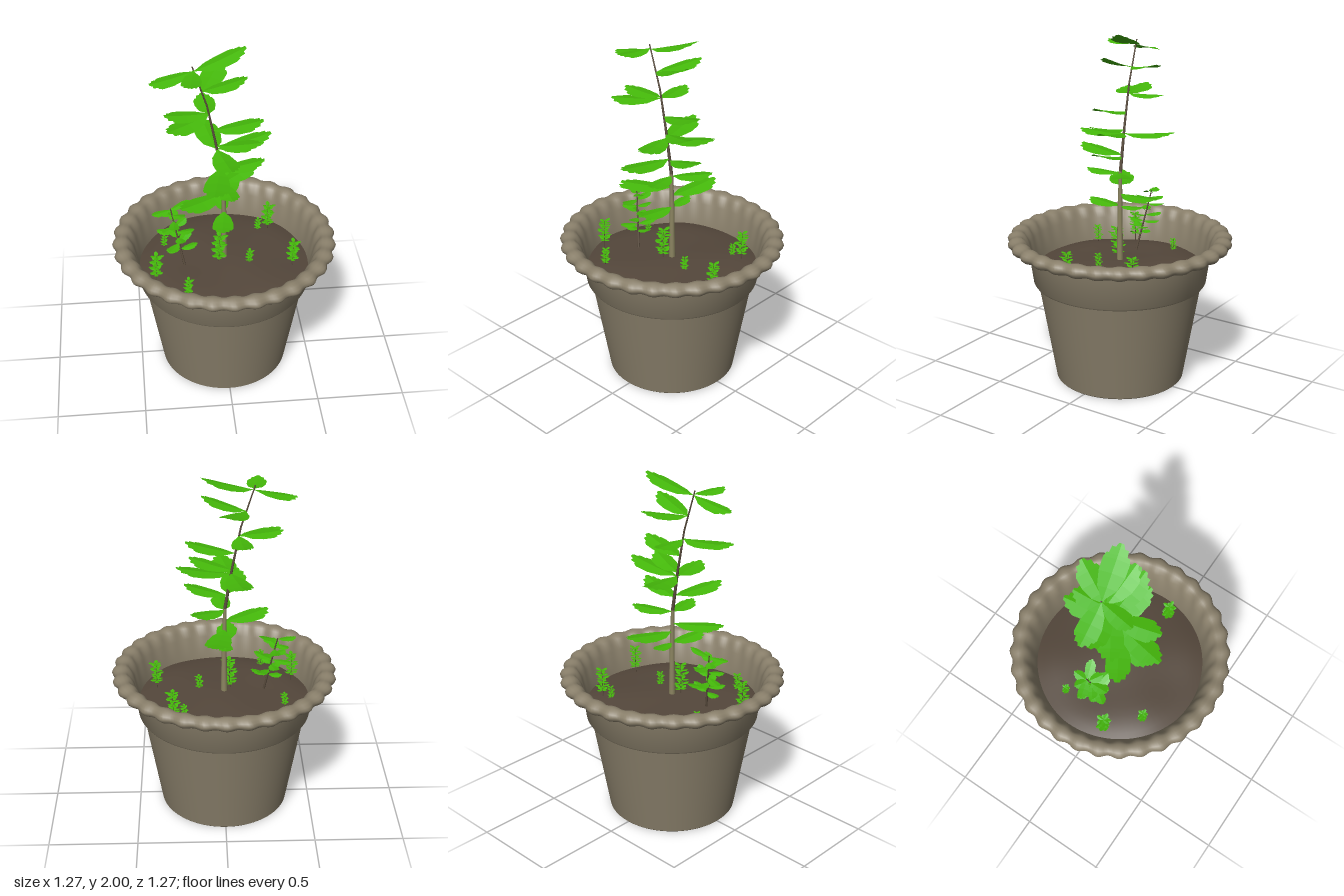
import * as THREE from 'three';
import { mergeGeometries, toCreasedNormals } from 'three/addons/utils/BufferGeometryUtils.js';

const mat = (name, color, side = THREE.FrontSide) => {
  const m = new THREE.MeshStandardMaterial({ color, side });
  m.name = name;
  return m;
};
const V = (x, y, z) => new THREE.Vector3(x, y, z);

function mesh(name, geometry, material, parent) {
  const m = new THREE.Mesh(geometry, material);
  m.name = name;
  parent.add(m);
  return m;
}

const lathe = (points, segments) =>
  new THREE.LatheGeometry(points.map(([r, y]) => new THREE.Vector2(r, y)), segments);

// Leaf outline: [position along the midrib, fraction of the half width]
const OUTLINE = [[0, 0.04], [0.08, 0.2], [0.25, 0.72], [0.5, 0.98], [0.74, 1],
  [0.82, 0.84], [0.8, 0.7], [0.93, 0.62], [0.91, 0.36], [1, 0.2]];

// Folded leaf with a toothed end, running from base to tip
function leaf(base, tip, halfWidth) {
  const dir = tip.clone().sub(base);
  const side = V(-dir.z, 0, dir.x).normalize();
  const length = dir.length();
  const at = (t, s) => {
    const p = base.clone().addScaledVector(dir, t).addScaledVector(side, s * halfWidth);
    p.y += -length * 0.09 * t * (1 - t) - Math.abs(s) * halfWidth * 0.16;
    return p;
  };
  const pos = [];
  const tri = (...ps) => ps.forEach((p) => pos.push(p.x, p.y, p.z));
  for (const s of [1, -1]) {
    for (let i = 0; i < OUTLINE.length - 1; i++) {
      const [t0, w0] = OUTLINE[i], [t1, w1] = OUTLINE[i + 1];
      const a = at(t0, 0), b = at(t1, 0), c = at(t1, w1 * s), d = at(t0, w0 * s);
      // Teeth step back along the midrib, so those quads turn the other way
      if ((s > 0) === (t1 > t0)) { tri(a, d, c); tri(a, c, b); } else { tri(a, c, d); tri(a, b, c); }
    }
  }
  const g = new THREE.BufferGeometry();
  g.setAttribute('position', new THREE.Float32BufferAttribute(pos, 3));
  // Keep the visible upper side facing up
  for (let i = 0; i < pos.length; i += 9) {
    const [a, b, c] = [0, 3, 6].map((k) => V(pos[i + k], pos[i + k + 1], pos[i + k + 2]));
    if (b.clone().sub(a).cross(c.clone().sub(a)).y < 0) {
      g.attributes.position.setXYZ(i / 3 + 1, c.x, c.y, c.z);
      g.attributes.position.setXYZ(i / 3 + 2, b.x, b.y, b.z);
    }
  }
  g.computeVertexNormals();
  return g;
}

// Tapered stem through a list of points
function stem(points, r0, r1, from = 0, to = points.length - 1) {
  const parts = [];
  const radius = (i) => r0 * (r1 / r0) ** (i / (points.length - 1));
  for (let i = from; i < to; i++) {
    const d = points[i + 1].clone().sub(points[i]);
    const g = new THREE.CylinderGeometry(radius(i + 1), radius(i), d.length(), 8);
    g.applyQuaternion(new THREE.Quaternion().setFromUnitVectors(V(0, 1, 0), d.clone().normalize()));
    const mid = points[i].clone().add(points[i + 1]).multiplyScalar(0.5);
    parts.push(g.translate(mid.x, mid.y, mid.z));
  }
  return mergeGeometries(parts);
}

// Point on a stem at a given height
function stemAt(points, y) {
  let i = 0;
  while (i < points.length - 2 && points[i + 1].y < y) i++;
  const a = points[i], b = points[i + 1];
  return a.clone().lerp(b, (y - a.y) / (b.y - a.y));
}

// Small plant: leaves spiral up the stem, square to its lean
function sprout(name, base, top, levels, perLevel, length, mats, parent) {
  const group = new THREE.Group();
  group.name = name;
  const pts = [base, base.clone().lerp(top, 0.5), top];
  const lean = (base.x - top.x) / (top.y - base.y);
  mesh('sproutStem', stem(pts, length * 0.06, length * 0.03), mats.stem, group);
  const leaves = [];
  for (let i = 0; i < levels; i++) {
    const p = base.clone().lerp(top, 0.3 + 0.68 * i / (levels - 1));
    for (let k = 0; k < perLevel; k++) {
      const a = i * 2.2 + k * Math.PI * 2 / perLevel;
      const l = length * (0.85 + 0.15 * Math.sin(i * 3 + k * 5));
      const rise = l * (0.15 + lean * Math.cos(a));
      leaves.push(leaf(p, p.clone().add(V(Math.cos(a) * l, rise, Math.sin(a) * l)), length * 0.25));
    }
  }
  mesh('sproutLeaves', mergeGeometries(leaves), mats.leaf, group);
  parent.add(group);
}

export function createModel() {
  const model = new THREE.Group();
  const clay = mat('clay', 0x8a806b, THREE.DoubleSide);
  const soilMat = mat('soil', 0x54473b);
  const leafMat = mat('leafGreen', 0x45b90a, THREE.DoubleSide);
  const barkLow = mat('greenBark', 0x8c8561);
  const barkHigh = mat('brownBark', 0x5b4d3e);

  // Pot: drain hole, floor, tapered wall and raised band
  const body = lathe([[0, 0.13], [0.065, 0.13], [0.065, 0], [0.362, 0], [0.368, 0.006], [0.465, 0.575],
    [0.485, 0.58], [0.492, 0.59], [0.52, 0.79]], 96);
  mesh('potBody', toCreasedNormals(body, 0.6), clay, model);

  // Scalloped rim: a rolled lip with soft lobes, running into the inner wall
  const lip = [[0.516, 0.785], [0.53, 0.79], [0.56, 0.788], [0.59, 0.788], [0.615, 0.797], [0.632, 0.812],
    [0.637, 0.828], [0.63, 0.845], [0.612, 0.859], [0.585, 0.866], [0.56, 0.862], [0.54, 0.848],
    [0.525, 0.825], [0.512, 0.79], [0.487, 0.66], [0.477, 0.6]];
  const rim = lathe(lip, 256);
  const pos = rim.attributes.position;
  for (let i = 0; i < pos.count; i++) {
    const x = pos.getX(i), y = pos.getY(i), z = pos.getZ(i);
    const r = Math.hypot(x, z);
    if (r < 0.52) continue;
    const pinch = 1 - 0.14 * (1 - Math.cos(32 * Math.atan2(x, z)));
    const nr = 0.575 + (r - 0.575) * pinch;
    pos.setXYZ(i, x * nr / r, 0.826 + (y - 0.826) * (0.4 + 0.6 * pinch), z * nr / r);
  }
  mesh('scallopedRim', toCreasedNormals(rim, 1.0), clay, model);

  // Soil: a low uneven mound that sinks toward the wall
  const soil = new THREE.RingGeometry(0.001, 0.492, 64, 10).rotateX(-Math.PI / 2);
  const sp = soil.attributes.position;
  for (let i = 0; i < sp.count; i++) {
    const x = sp.getX(i), z = sp.getZ(i);
    const sink = 0.04 * (Math.hypot(x, z) / 0.49) ** 4;
    sp.setY(i, 0.695 - sink + 0.007 * Math.sin(x * 11 + 1) * Math.cos(z * 9));
  }
  soil.computeVertexNormals();
  mesh('soil', soil, soilMat, model);

  // Main stem, leaning toward its right
  const trunk = [V(0, 0.68, 0), V(0, 1.0, 0), V(-0.005, 1.22, 0), V(-0.045, 1.47, 0),
    V(-0.09, 1.7, 0), V(-0.165, 1.935, 0)];
  mesh('lowerStem', stem(trunk, 0.019, 0.0035, 0, 2), barkLow, model);
  mesh('upperStem', stem(trunk, 0.019, 0.0035, 2), barkHigh, model);

  // Main leaves: [height on stem, tip x, tip y, tip z]
  const leaves = [
    [1.91, 0.12, 2.0, -0.07], [1.91, -0.39, 1.86, 0.03], [1.915, -0.19, 1.92, 0.2],
    [1.79, 0.12, 1.87, 0.02], [1.79, 0, 1.84, -0.23],
    [1.65, -0.31, 1.64, 0.15], [1.655, -0.32, 1.67, 0.03], [1.65, -0.1, 1.66, -0.22],
    [1.55, 0.21, 1.61, 0.02],
    [1.43, 0.26, 1.49, -0.05], [1.45, 0.19, 1.5, 0.07], [1.43, -0.1, 1.46, -0.29], [1.43, 0.02, 1.44, 0.25],
    [1.3, 0.22, 1.36, 0.02], [1.31, -0.08, 1.33, 0.31],
    [1.21, 0.18, 1.24, -0.13], [1.21, 0.03, 1.22, 0.2],
    [1.14, -0.25, 1.15, 0.15], [1.09, 0.06, 1.12, -0.29],
    [1.02, -0.03, 1.03, 0.22], [1.02, -0.01, 1.03, -0.15],
  ].map(([y, tx, ty, tz]) => {
    const base = stemAt(trunk, y), tip = V(tx, ty, tz);
    return leaf(base, tip, Math.min(0.07, base.distanceTo(tip) * 0.26));
  });
  mesh('mainLeaves', mergeGeometries(leaves), leafMat, model);

  // Side plant and seedlings around the soil: [x, z, height]
  const mats = { stem: barkHigh, leaf: leafMat };
  sprout('sidePlant', V(-0.23, 0.68, 0.04), V(-0.3, 1.04, -0.02), 8, 2, 0.115, mats, model);
  for (const [x, z, h] of [[0.285, -0.275, 0.15], [0.225, -0.265, 0.06], [0.385, 0.085, 0.14],
    [-0.23, 0.31, 0.09], [-0.4, 0.155, 0.15], [-0.34, -0.15, 0.06], [-0.035, 0.04, 0.18],
    [0.14, 0.05, 0.07]]) {
    sprout('seedling', V(x, 0.67, z), V(x + 0.005, 0.695 + h, z), 6, 4, 0.012 + h * 0.22, mats, model);
  }
  return model;
}
